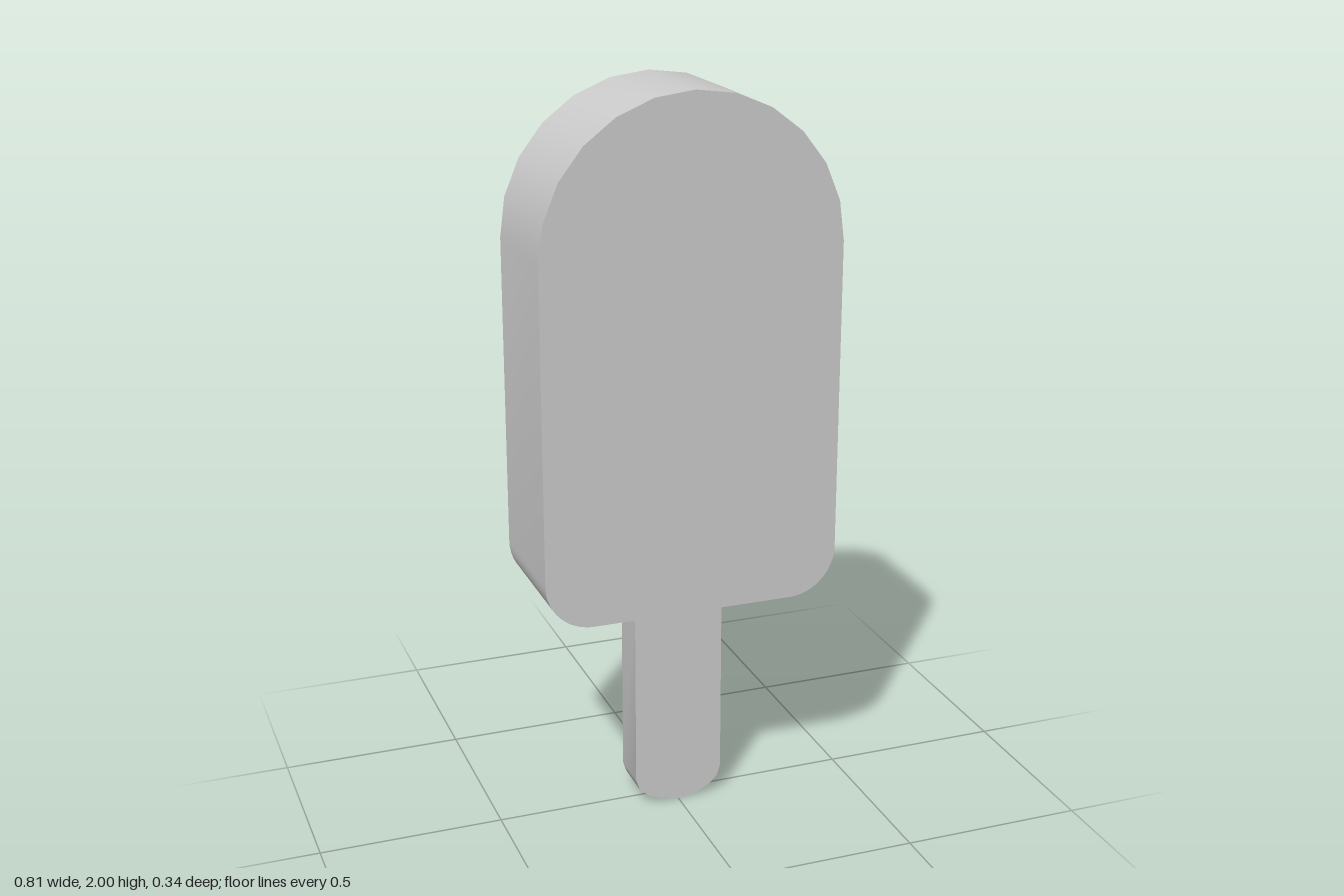
import * as THREE from 'three';
import { toCreasedNormals } from 'three/addons/utils/BufferGeometryUtils.js';

// Extrude an outline to a slab centred on z = 0, smooth round the curves
function slab(name, shape, depth, material) {
  const geometry = new THREE.ExtrudeGeometry(shape, { depth, bevelEnabled: false, curveSegments: 6 });
  geometry.translate(0, 0, -depth / 2);
  const mesh = new THREE.Mesh(toCreasedNormals(geometry, 0.7), material);
  mesh.name = name;
  return mesh;
}

export function createModel() {
  const group = new THREE.Group();
  group.name = 'icePop';
  const grey = new THREE.MeshStandardMaterial({ color: 0xcccccc });
  grey.name = 'light grey';

  // Ice body: domed top, rounded lower corners
  const w = 0.407, bottom = 0.62, r = 0.13, shoulder = 2 - w;
  const body = new THREE.Shape();
  body.moveTo(-w + r, bottom);
  body.lineTo(w - r, bottom);
  body.absarc(w - r, bottom + r, r, -Math.PI / 2, 0, false);
  body.lineTo(w, shoulder);
  body.absarc(0, shoulder, w, 0, Math.PI, false);
  body.lineTo(-w, bottom + r);
  body.absarc(-w + r, bottom + r, r, Math.PI, Math.PI * 1.5, false);
  group.add(slab('iceBody', body, 0.338, grey));

  // Stick: rounded lower end, top sunk slightly into the ice
  const half = [[0.125, 0.65], [0.125, 0.08], [0.115, 0.05], [0.088, 0.025], [0.046, 0.007]];
  const outline = [
    ...half.map(([x, y]) => new THREE.Vector2(-x, y)),
    new THREE.Vector2(0, 0),
    ...half.map(([x, y]) => new THREE.Vector2(x, y)).reverse(),
  ];
  group.add(slab('stick', new THREE.Shape(outline), 0.112, grey));

  return group;
}
